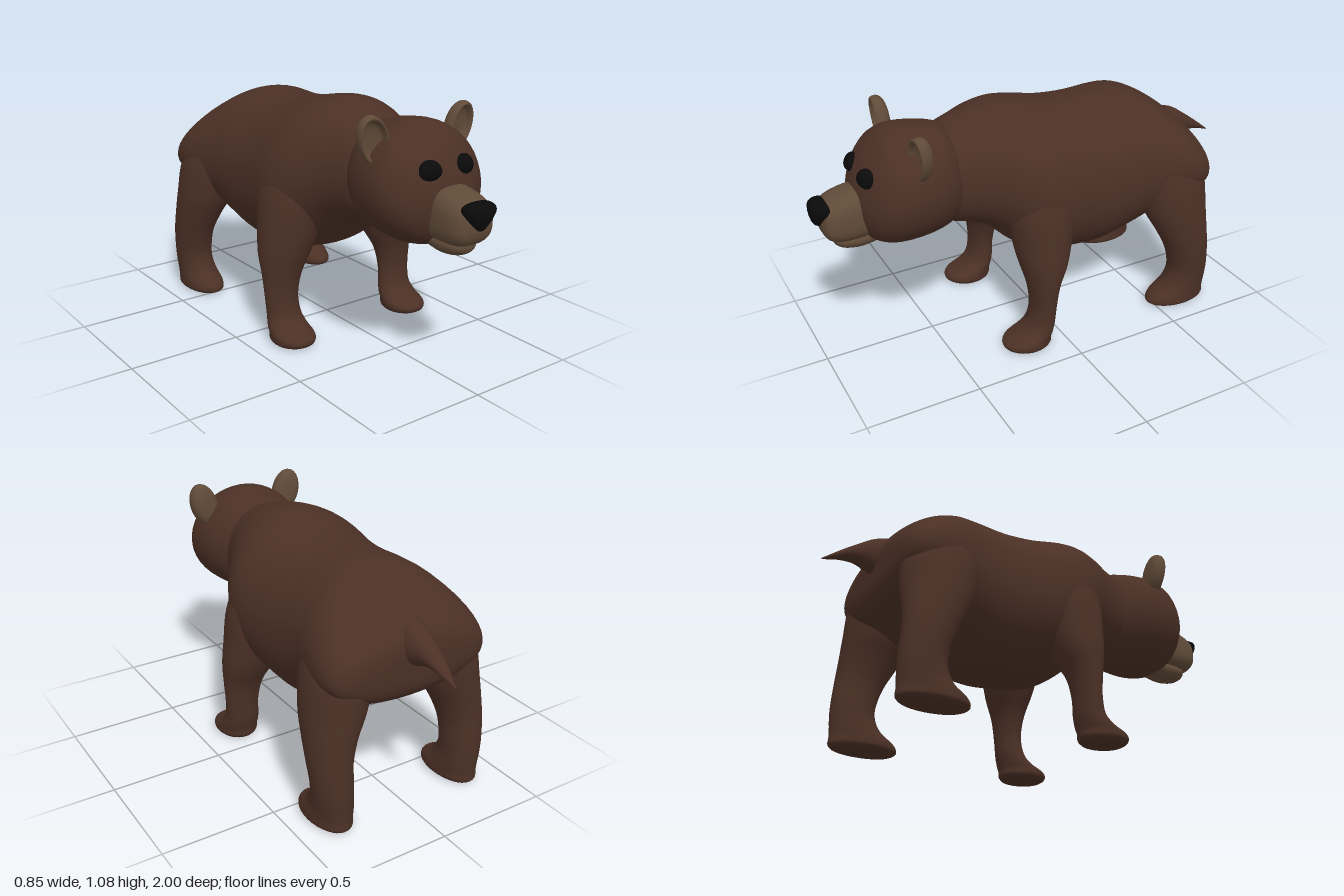
import * as THREE from 'three';

const fur = new THREE.MeshStandardMaterial({ color: 0x4b3025 });
const tan = new THREE.MeshStandardMaterial({ color: 0x604a38 });
const black = new THREE.MeshStandardMaterial({ color: 0x0a0a0a });

// Catmull-Rom interpolation of section rows, `steps` rows per span
function refine(rows, steps) {
  const out = [];
  const at = (i) => rows[Math.max(0, Math.min(rows.length - 1, i))];
  for (let i = 0; i < rows.length - 1; i++) {
    for (let s = 0; s < steps; s++) {
      const t = s / steps;
      out.push(rows[i].map((b, c) => {
        const a = at(i - 1)[c], d = at(i + 1)[c], e = at(i + 2)[c];
        return b + 0.5 * t * (d - a + t * (2 * a - 5 * b + 4 * d - e + t * (3 * (b - d) + e - a)));
      }));
    }
  }
  out.push(rows[rows.length - 1]);
  return out;
}

// Skin over rows [position, centreX, centre2, radiusX, radius2], stacked along y or z.
// power < 1 squares the section off, egg > 0 narrows its top.
function loft(rows, { axis = 'z', power = 1, egg = 0, sides = 40, steps = 5 } = {}) {
  const sections = refine([...rows].sort((a, b) => a[0] - b[0]), steps);
  const pos = [], index = [];
  const bend = (v) => Math.sign(v) * Math.abs(v) ** power;
  const put = (x, v, p) => (axis === 'z' ? pos.push(x, v, p) : pos.push(x, p, v));
  for (const [p, cx, c2, rx, r2] of sections) {
    for (let j = 0; j < sides; j++) {
      const a = (j / sides) * Math.PI * 2;
      const s = bend(Math.sin(a)), c = bend(Math.cos(a));
      put(cx + rx * c * (1 - egg * s), c2 + r2 * s * (axis === 'z' ? 1 : -1), p);
    }
  }
  const n = sections.length;
  for (let i = 0; i < n - 1; i++) {
    for (let j = 0; j < sides; j++) {
      const k = (j + 1) % sides, a = i * sides, b = a + sides;
      index.push(a + j, a + k, b + k, a + j, b + k, b + j);
    }
  }
  // end caps
  for (const [i, first] of [[0, true], [n - 1, false]]) {
    const [p, cx, c2] = sections[i], centre = pos.length / 3;
    put(cx, c2, p);
    for (let j = 0; j < sides; j++) {
      const a = i * sides + j, b = i * sides + ((j + 1) % sides);
      if (first) index.push(centre, b, a); else index.push(centre, a, b);
    }
  }
  const g = new THREE.BufferGeometry();
  g.setAttribute('position', new THREE.Float32BufferAttribute(pos, 3));
  g.setIndex(index);
  g.computeVertexNormals();
  return g;
}

// Symmetric rows [z, halfWidth, bottom, top]
const alongZ = (rows, options) =>
  loft(rows.map(([z, w, b, t]) => [z, 0, (b + t) / 2, w, (t - b) / 2]), options);

export function createModel() {
  const model = new THREE.Group();
  const add = (name, geometry, material) => {
    const mesh = new THREE.Mesh(geometry, material);
    mesh.name = name;
    model.add(mesh);
    return mesh;
  };

  // Trunk with shoulder hump and blunt rump
  add('body', alongZ([
    [0.47, 0.15, 0.62, 0.95], [0.42, 0.2, 0.575, 1.0], [0.33, 0.235, 0.55, 1.03],
    [0.25, 0.28, 0.515, 1.05], [0.15, 0.34, 0.42, 1.06], [0.05, 0.37, 0.36, 1.05],
    [-0.1, 0.36, 0.33, 1.02], [-0.25, 0.35, 0.32, 1.01], [-0.4, 0.35, 0.36, 1.015],
    [-0.5, 0.365, 0.41, 1.0], [-0.6, 0.385, 0.46, 0.95], [-0.68, 0.385, 0.5, 0.89],
    [-0.74, 0.36, 0.53, 0.83], [-0.77, 0.3, 0.57, 0.78], [-0.78, 0.2, 0.62, 0.73],
  ], { egg: 0.06, power: 0.95, sides: 56 }), fur);

  add('tail', alongZ([
    [-0.6, 0.09, 0.68, 0.9], [-0.7, 0.08, 0.68, 0.865], [-0.78, 0.065, 0.68, 0.84],
    [-0.85, 0.045, 0.705, 0.795], [-0.92, 0.028, 0.702, 0.745], [-1, 0.003, 0.677, 0.683],
  ]), fur);

  // Legs: rows [y, x, z, radiusX, radiusZ] from sole up into the trunk
  const frontLeg = [
    [0.005, 0.315, 0.17, 0.08, 0.095], [0.02, 0.315, 0.175, 0.094, 0.112], [0.045, 0.315, 0.172, 0.095, 0.11],
    [0.075, 0.315, 0.135, 0.089, 0.08], [0.12, 0.315, 0.108, 0.08, 0.062], [0.2, 0.318, 0.097, 0.08, 0.056],
    [0.3, 0.31, 0.092, 0.095, 0.07], [0.4, 0.285, 0.08, 0.125, 0.105], [0.5, 0.26, 0.072, 0.14, 0.13],
    [0.65, 0.232, 0.06, 0.15, 0.15], [0.8, 0.2, 0.04, 0.13, 0.13], [0.92, 0.15, 0.03, 0.08, 0.08],
  ];
  const hindLeg = [
    [0.005, 0.325, -0.63, 0.075, 0.135], [0.02, 0.325, -0.625, 0.09, 0.153], [0.05, 0.325, -0.63, 0.09, 0.146],
    [0.09, 0.326, -0.66, 0.086, 0.117], [0.14, 0.33, -0.677, 0.084, 0.102], [0.2, 0.332, -0.68, 0.086, 0.098],
    [0.3, 0.333, -0.662, 0.092, 0.108], [0.4, 0.316, -0.635, 0.108, 0.13], [0.5, 0.288, -0.61, 0.13, 0.155],
    [0.65, 0.255, -0.59, 0.14, 0.17], [0.8, 0.2, -0.56, 0.125, 0.155], [0.9, 0.15, -0.52, 0.08, 0.1],
  ];
  for (const [side, s] of [['left', 1], ['right', -1]]) {
    for (const [name, rows] of [['FrontLeg', frontLeg], ['HindLeg', hindLeg]]) {
      const sided = rows.map(([y, x, z, rx, rz]) => [y, s * x, z, rx, rz]);
      add(side + name, loft(sided, { axis: 'y', sides: 32 }), fur);
    }
  }

  add('head', alongZ([
    [0.4, 0.17, 0.61, 0.97], [0.42, 0.208, 0.575, 1.01], [0.5, 0.25, 0.555, 1.03],
    [0.6, 0.265, 0.545, 1.04], [0.68, 0.258, 0.548, 1.02], [0.74, 0.225, 0.565, 0.965],
    [0.78, 0.175, 0.595, 0.905], [0.81, 0.11, 0.65, 0.835], [0.82, 0.05, 0.7, 0.78],
  ], { sides: 48 }), fur);

  add('muzzle', alongZ([
    [0.72, 0.09, 0.61, 0.8], [0.8, 0.105, 0.6, 0.818], [0.88, 0.105, 0.6, 0.805],
    [0.93, 0.095, 0.61, 0.785], [0.955, 0.075, 0.635, 0.765], [0.965, 0.04, 0.67, 0.73],
  ], { power: 0.7, egg: 0.04 }), tan);

  add('jaw', alongZ([
    [0.7, 0.06, 0.56, 0.64], [0.8, 0.072, 0.545, 0.64], [0.87, 0.066, 0.552, 0.635],
    [0.905, 0.045, 0.568, 0.625], [0.915, 0.02, 0.585, 0.61],
  ]), tan);

  // Triangular nose, wide at the top
  add('nose', alongZ([
    [0.91, 0.05, 0.69, 0.775], [0.94, 0.063, 0.675, 0.785], [0.97, 0.061, 0.675, 0.783],
    [0.99, 0.046, 0.692, 0.772], [1, 0.018, 0.722, 0.75],
  ], { power: 0.85, egg: -0.65 }), black);

  // Ear: a turned cup facing forward, stretched and tilted outward
  const cup = [[0, -0.034], [0.5, -0.032], [0.82, -0.022], [0.97, -0.005], [1, 0.012],
    [0.95, 0.028], [0.86, 0.03], [0.77, 0.02], [0.68, 0.006], [0.4, 0], [0, 0]];
  const earProfile = new THREE.SplineCurve(cup.map(([r, h]) => new THREE.Vector2(r, h)))
    .getPoints(40).map((p) => new THREE.Vector2(Math.max(0, p.x), p.y));

  for (const [side, s] of [['left', 1], ['right', -1]]) {
    const earGeometry = new THREE.LatheGeometry(earProfile, 36);
    earGeometry.rotateX(Math.PI / 2);
    earGeometry.scale(0.066, 0.104, 1);
    const ear = add(side + 'Ear', earGeometry, tan);
    ear.material.side = THREE.DoubleSide;
    ear.position.set(s * 0.222, 0.982, 0.59);
    ear.rotation.set(0.08, s * 0.1, -s * 0.3);

    const eyeGeometry = new THREE.SphereGeometry(1, 28, 20);
    // flatten the lower half of the eye
    const p = eyeGeometry.attributes.position;
    for (let i = 0; i < p.count; i++) if (p.getY(i) < 0) p.setY(i, p.getY(i) * 0.75);
    eyeGeometry.scale(0.049, 0.047, 0.034);
    eyeGeometry.computeVertexNormals();
    const eye = add(side + 'Eye', eyeGeometry, black);
    eye.position.set(s * 0.089, 0.874, 0.777);
    eye.rotation.set(-0.2, s * 0.4, -s * 0.1);
  }
  return model;
}
